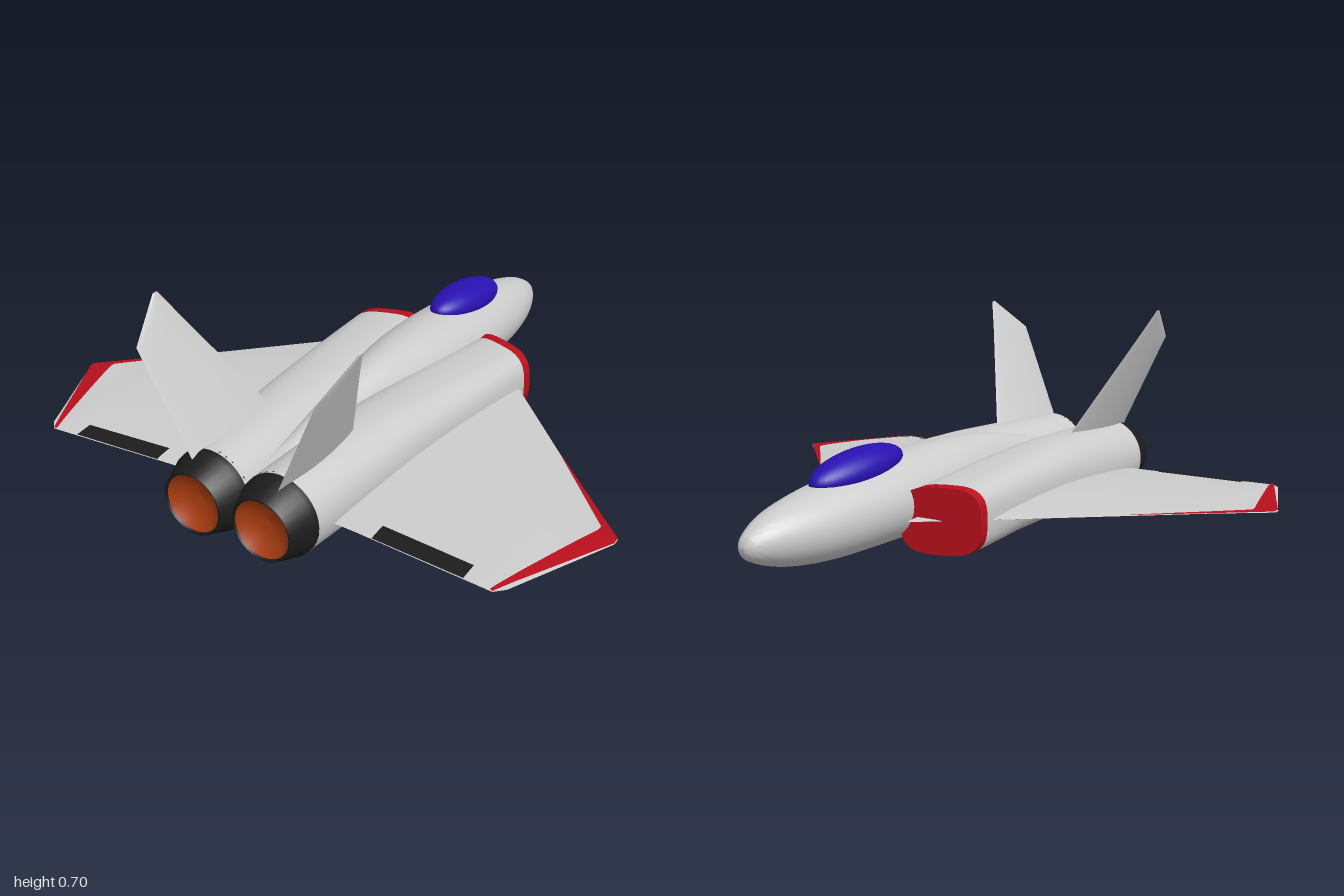
import * as THREE from 'three';
import { toCreasedNormals } from 'three/addons/utils/BufferGeometryUtils.js';

const mat = (color, side = THREE.FrontSide) => new THREE.MeshStandardMaterial({ color, side });
const grey = mat(0xcccccc), red = mat(0xb80f1c), dark = mat(0x1c1c1c, THREE.DoubleSide);
const blue = mat(0x2a10b0), orange = mat(0xa83c10, THREE.DoubleSide);
const lerp = THREE.MathUtils.lerp;

function part(name, geometry, material) {
  const m = new THREE.Mesh(geometry, material);
  m.name = name;
  return m;
}

// Skin closed rings of [x, y, z] points, with both ends capped
function loft(rings, crease = 0.7) {
  const n = rings[0].length, pos = rings.flat(2), idx = [];
  for (let i = 0; i < rings.length - 1; i++)
    for (let j = 0; j < n; j++) {
      const a = i * n + j, b = i * n + (j + 1) % n, c = b + n, d = a + n;
      idx.push(a, b, c, a, c, d);
    }
  [rings[0], rings[rings.length - 1]].forEach((ring, end) => {
    const centre = pos.length / 3, base = end ? (rings.length - 1) * n : 0;
    for (let k = 0; k < 3; k++) pos.push(ring.reduce((s, p) => s + p[k], 0) / n);
    for (let j = 0; j < n; j++) {
      const a = base + j, b = base + (j + 1) % n;
      idx.push(centre, ...(end ? [a, b] : [b, a]));
    }
  });
  const g = new THREE.BufferGeometry();
  g.setAttribute('position', new THREE.Float32BufferAttribute(pos, 3));
  g.setIndex(idx);
  return toCreasedNormals(g, crease);
}

// Interpolate a table of rows whose first column is the key
function sample(rows, key) {
  let i = 0;
  while (i < rows.length - 2 && key > rows[i + 1][0]) i++;
  const f = (key - rows[i][0]) / (rows[i + 1][0] - rows[i][0]);
  return rows[i].map((v, k) => lerp(v, rows[i + 1][k], f));
}

// Superellipse body ring: exponent 2 is round, higher is boxier; shear slants it in z
function bodyRing([z, cx, hw, top, bottom, e = 2, shear = 0], n = 40) {
  const pow = (v) => Math.sign(v) * Math.abs(v) ** (2 / e);
  return Array.from({ length: n }, (_, j) => {
    const a = (j / n) * Math.PI * 2, x = hw * pow(Math.cos(a));
    return [cx + x, (top + bottom) / 2 + (top - bottom) / 2 * pow(Math.sin(a)), z + shear * x];
  });
}

// Thin tapered blade along +x, rows of [span, leading z, trailing z, half thickness]
const foil = (u) => Math.sin(Math.PI * THREE.MathUtils.clamp(u, 0, 1)) ** 0.75;
function blade(rows) {
  const n = 14, rings = [];
  const spans = [rows[0][0]];
  for (let i = 1; i < rows.length; i++)
    for (let k = 1; k <= 6; k++) spans.push(lerp(rows[i - 1][0], rows[i][0], k / 6));
  for (const s of spans) {
    const [, le, te, t] = sample(rows, s), ring = [];
    for (let j = 0; j < 2 * n; j++) {
      const u = (1 - Math.cos(Math.PI * j / n)) / 2;
      ring.push([s, (j <= n ? 1 : -1) * t * foil(u), lerp(le, te, u)]);
    }
    rings.push(ring);
  }
  return loft(rings, 0.6);
}

const wingRows = [
  [0.16, -0.40, 0.775, 0.035], [0.35, -0.215, 0.785, 0.028],
  [0.81, 0.242, 0.82, 0.012], [0.84, 0.272, 0.79, 0.01], [1.0, 0.415, 0.445, 0.002],
];

// Painted strip lying on the wing's upper skin, between two outlines of [x, z]
function wingPaint(outer, inner) {
  const pos = [], idx = [], across = 5, along = 10;
  const cols = [];
  for (let i = 0; i < outer.length - 1; i++)
    for (let k = i ? 1 : 0; k <= along; k++) cols.push([i, k / along]);
  cols.forEach(([i, f], c) => {
    for (let j = 0; j <= across; j++) {
      const at = (line, k) => lerp(line[i][k], line[i + 1][k], f);
      const x = lerp(at(outer, 0), at(inner, 0), j / across);
      const z = lerp(at(outer, 1), at(inner, 1), j / across);
      const [, le, te, t] = sample(wingRows, x);
      pos.push(x, t * foil((z - le) / (te - le)) + 0.003, z);
      if (c && j) {
        const d = c * (across + 1) + j, b = d - across - 1;
        idx.push(b - 1, b, d, b - 1, d, d - 1);
      }
    }
  });
  const g = new THREE.BufferGeometry();
  g.setAttribute('position', new THREE.Float32BufferAttribute(pos, 3));
  g.setIndex(idx);
  g.computeVertexNormals();
  return g;
}

// Everything on the +x side
function buildSide() {
  const side = new THREE.Group();

  // Engine nacelle, boxy at the intake and round at the nozzle
  const nacelle = [
    [-0.325, 0.232, 0.125, 0.225, 0.010, 3.2, 0.35], [-0.285, 0.232, 0.122, 0.228, 0.010, 3.2, 0.33],
    [0.0, 0.195, 0.138, 0.250, 0.020, 2.8, 0.1], [0.35, 0.160, 0.142, 0.274, 0.018, 2.4, 0],
    [0.65, 0.138, 0.141, 0.279, 0.010, 2.1, 0], [0.85, 0.126, 0.136, 0.279, 0.008, 2, 0],
  ];
  const rings = [nacelle[1]];
  for (let k = 1; k <= 24; k++) rings.push(sample(nacelle, lerp(-0.285, 0.85, k / 24)));
  side.add(part('nacelle', loft(rings.map((r) => bodyRing(r))), grey));
  side.add(part('intake', loft([nacelle[0], nacelle[1]].map((r) => bodyRing(r))), red));

  // Nozzle with recessed glowing exhaust
  const nozzlePts = [[0.136, 0.84], [0.134, 0.87], [0.104, 0.95], [0.098, 0.95], [0.094, 0.935]];
  const lathe = (pts) => new THREE.LatheGeometry(pts.map(([r, h]) => new THREE.Vector2(r, h)), 32).rotateX(Math.PI / 2);
  const nozzle = part('nozzle', lathe(nozzlePts), dark);
  const exhaust = part('exhaust', lathe([[0.1, 0.948], [0.075, 0.92], [0.04, 0.905], [0, 0.9]]), orange);
  for (const m of [nozzle, exhaust]) {
    m.position.set(0.126, 0.143, 0);
    side.add(m);
  }

  // Wing with painted edge and flap
  const wing = new THREE.Group();
  wing.name = 'wing';
  wing.position.y = 0.12;
  wing.add(part('wingPanel', blade(wingRows), grey));
  wing.add(part('wingEdge', wingPaint(
    [[0.66, 0.093], [1.0, 0.417], [1.0, 0.443], [0.81, 0.82]],
    [[0.66, 0.096], [0.935, 0.39], [0.935, 0.41], [0.80, 0.815]]), red));
  wing.add(part('flap', wingPaint([[0.40, 0.728], [0.715, 0.752]], [[0.40, 0.789], [0.715, 0.812]]), dark));
  side.add(wing);

  // Outward-leaning tail fin
  const fin = part('tailFin', blade([
    [-0.06, 0.495, 0.897, 0.02], [0, 0.525, 0.901, 0.018],
    [0.353, 0.708, 0.925, 0.007], [0.469, 0.765, 0.785, 0.003],
  ]), grey);
  fin.position.set(0.165, 0.28, 0);
  fin.rotation.z = 1.136;
  side.add(fin);
  return side;
}

export function createModel() {
  const model = new THREE.Group();
  model.name = 'jetPlane';

  // Fuselage, nose towards -z: [z, centre x, half width, top, bottom]
  const fuselage = [
    [-0.95, 0, 0.006, 0.126, 0.114], [-0.942, 0, 0.022, 0.143, 0.096], [-0.92, 0, 0.042, 0.165, 0.077],
    [-0.85, 0, 0.077, 0.202, 0.050], [-0.75, 0, 0.108, 0.231, 0.030], [-0.6, 0, 0.134, 0.260, 0.020],
    [-0.4, 0, 0.150, 0.286, 0.025], [-0.2, 0, 0.149, 0.304, 0.030], [0, 0, 0.136, 0.312, 0.030],
    [0.2, 0, 0.105, 0.304, 0.030], [0.4, 0, 0.080, 0.272, 0.033], [0.6, 0, 0.065, 0.235, 0.045],
    [0.85, 0, 0.05, 0.20, 0.08],
  ];
  const curves = [1, 2, 3, 4].map((k) =>
    new THREE.SplineCurve(fuselage.map((r) => new THREE.Vector2(r[0], r[k]))));
  const rings = Array.from({ length: 49 }, (_, i) => {
    const p = curves.map((c) => c.getPoint(i / 48));
    return bodyRing([p[0].x, ...p.map((v) => v.y)]);
  });
  model.add(part('fuselage', loft(rings, 1), grey));

  // Canopy
  const canopy = part('canopy', new THREE.SphereGeometry(1, 40, 24), blue);
  canopy.scale.set(0.08, 0.062, 0.205);
  canopy.position.set(0, 0.278, -0.45);
  canopy.rotation.x = -0.12;
  model.add(canopy);

  // Mirrored halves
  const left = buildSide(), right = buildSide();
  left.name = 'leftSide';
  right.name = 'rightSide';
  right.scale.x = -1;
  model.add(left, right);

  // The plane sits turned very slightly
  model.rotation.y = -0.018;
  model.position.set(0.003, 0, 0);
  return model;
}
